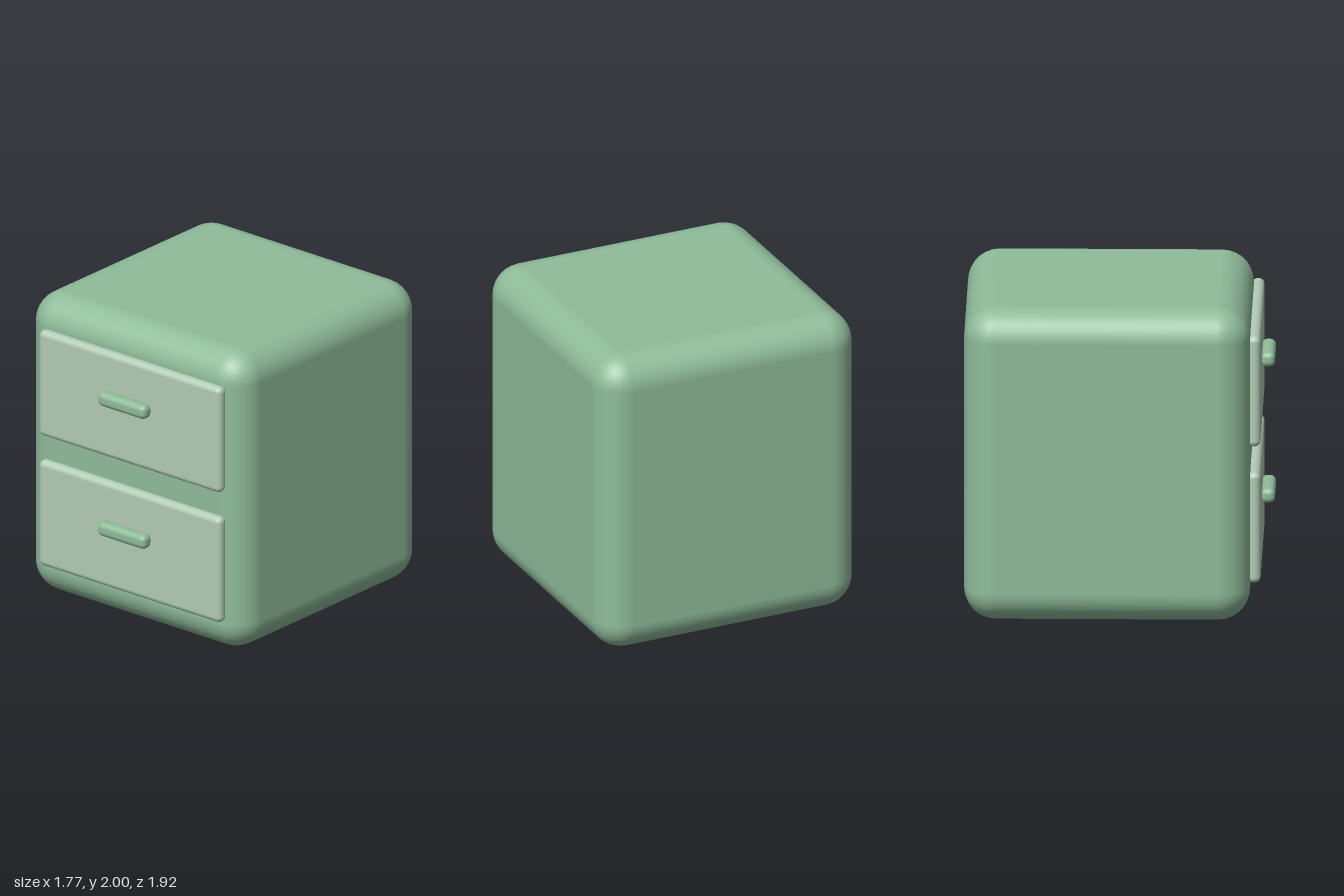
import * as THREE from 'three';
import { RoundedBoxGeometry } from 'three/addons/geometries/RoundedBoxGeometry.js';

const green = new THREE.MeshStandardMaterial({ color: 0x8fbc9a });
const paleGreen = new THREE.MeshStandardMaterial({ color: 0xb2ccb6 });

// Rounded box spanning the given [min, max] ranges
function roundedBox(name, [x0, x1], [y0, y1], [z0, z1], radius, segments, material) {
  const geometry = new RoundedBoxGeometry(x1 - x0, y1 - y0, z1 - z0, segments, radius);
  const mesh = new THREE.Mesh(geometry, material);
  mesh.name = name;
  mesh.position.set((x0 + x1) / 2, (y0 + y1) / 2, (z0 + z1) / 2);
  return mesh;
}

export function createModel() {
  const cabinet = new THREE.Group();
  cabinet.name = 'bedsideCabinet';

  // Soft-edged body
  cabinet.add(roundedBox('body', [-0.885, 0.885], [0, 2], [-0.96, 0.815], 0.2, 4, green));

  // Two drawers, each a thin front panel with a bar handle
  for (const [name, y] of [['lowerDrawer', 0.23], ['upperDrawer', 1.103]]) {
    const drawer = new THREE.Group();
    drawer.name = name;
    drawer.add(
      roundedBox('drawerFront', [-0.71, 0.77], [y, y + 0.708], [0.8, 0.88], 0.038, 3, paleGreen),
      roundedBox('handle', [-0.165, 0.222], [y + 0.37, y + 0.463], [0.873, 0.96], 0.036, 3, green),
    );
    cabinet.add(drawer);
  }
  return cabinet;
}
